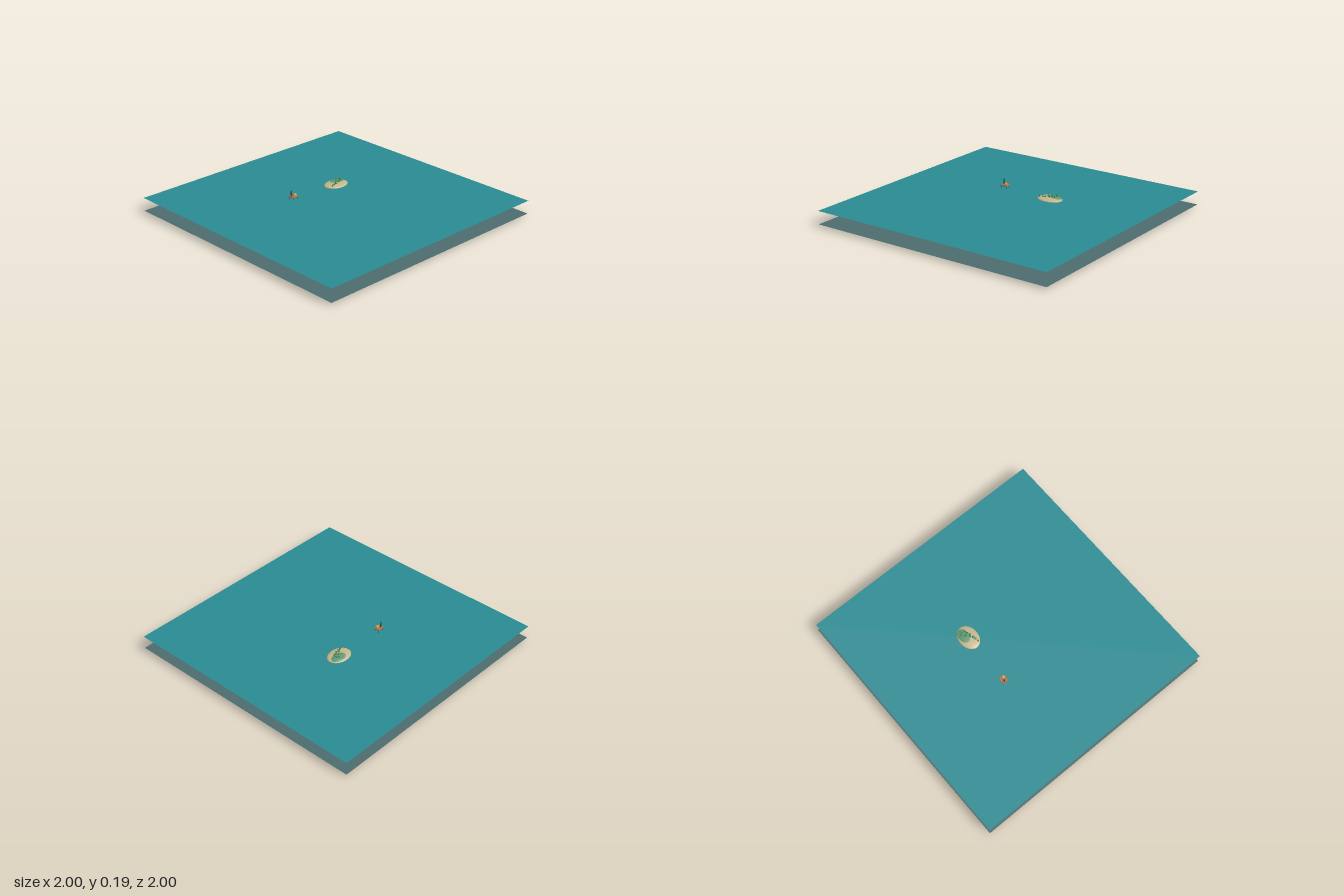
import * as THREE from 'three';

const SEABED = 0.018, WATER = 0.121;

const material = (color, options = {}) => new THREE.MeshStandardMaterial({ color, ...options });
const sandMat = material(0xc2b68a);
const grassMat = material(0x5f9872);
const leafMat = material(0x3f7a55, { flatShading: true });
const trunkMat = material(0x6b5138);
const deckMat = material(0xa8714c);
const steelMat = material(0x454c50);
const cabinMat = material(0xd6ac52);
const rockMats = [0x4a6a68, 0x55706a, 0x3d5a60].map(c => material(c, { flatShading: true }));

function add(parent, name, geometry, mat, x, y, z) {
  const mesh = new THREE.Mesh(geometry, mat);
  mesh.name = name;
  mesh.position.set(x, y, z);
  parent.add(mesh);
  return mesh;
}

function group(parent, name, x, y, z) {
  const g = new THREE.Group();
  g.name = name;
  g.position.set(x, y, z);
  parent.add(g);
  return g;
}

function seeded(seed) {
  return () => (seed = (seed * 16807) % 2147483647) / 2147483647;
}

// Flat square sheet, used for both the sea surface and the seabed
function sheet(parent, name, color, y) {
  const geometry = new THREE.PlaneGeometry(2, 2).rotateX(-Math.PI / 2);
  add(parent, name, geometry, material(color, { side: THREE.DoubleSide }), 0, y, 0);
}

// Rounded stones half sunk into the seabed
function buildRocks(parent) {
  const rocks = group(parent, 'seabedRocks', 0, SEABED, 0);
  const random = seeded(4711);
  const geometry = new THREE.IcosahedronGeometry(1, 1);
  for (let i = 0; i < 60; i++) {
    const angle = random() * Math.PI * 2;
    const distance = 0.44 * Math.pow(random(), 0.7);
    const size = 0.005 + random() * 0.01;
    const rock = add(rocks, 'rock', geometry, rockMats[i % 3],
      Math.cos(angle) * distance, 0, Math.sin(angle) * distance);
    rock.scale.set(size, Math.min(size, 0.013), size * (0.8 + random() * 0.3));
    rock.rotation.y = random() * Math.PI;
  }
  // one full-depth stone
  add(rocks, 'rock', geometry, rockMats[0], 0.12, 0, -0.16).scale.set(0.016, 0.018, 0.015);
}

// Sandy island with a grassy crown and small trees
function buildIsland(parent) {
  const island = group(parent, 'island', 0.2, WATER, -0.203);
  const ball = new THREE.SphereGeometry(1, 40, 24);
  add(island, 'sand', ball, sandMat, 0, 0, 0).scale.set(0.1, 0.018, 0.075);
  add(island, 'grass', ball, grassMat, 0.018, 0.006, -0.015).scale.set(0.07, 0.0145, 0.048);

  const spots = [
    [-0.069, 0.035], [-0.045, 0.03], [-0.025, 0.025], [-0.01, 0.01], [0.005, 0.018],
    [0.025, 0.008], [0.045, 0.005], [0.038, -0.035], [0.015, -0.015], [0.052, -0.02],
  ];
  const trunk = new THREE.CylinderGeometry(0.0015, 0.002, 0.018, 6);
  const crown = new THREE.IcosahedronGeometry(1, 0);
  spots.forEach(([x, z], i) => {
    const tree = group(island, 'tree', x, i < 3 ? 0.012 : 0.019, z);
    add(tree, 'trunk', trunk, trunkMat, 0, 0, 0);
    const top = add(tree, 'treeCrown', crown, leafMat, 0, 0.01, 0);
    const radius = 0.008 + (i % 3) * 0.0015;
    top.scale.set(radius, 0.005, radius);
    top.rotation.y = i;
  });
}

// Platform on four legs that reach down to the seabed
function buildPlatform(parent) {
  const rig = group(parent, 'platform', -0.219, 0, -0.217);
  add(rig, 'deck', new THREE.BoxGeometry(0.058, 0.006, 0.05), deckMat, 0, 0.145, 0);
  const legHeight = 0.142 - SEABED;
  const leg = new THREE.CylinderGeometry(0.0022, 0.0022, legHeight, 10);
  for (const x of [-0.021, 0.021])
    for (const z of [-0.018, 0.018])
      add(rig, 'leg', leg, steelMat, x, SEABED + legHeight / 2, z);
  add(rig, 'tower', new THREE.CylinderGeometry(0.005, 0.006, 0.044, 12), steelMat, -0.015, 0.17, -0.006);
  add(rig, 'cabin', new THREE.BoxGeometry(0.02, 0.015, 0.016), cabinMat, 0.009, 0.1555, 0.006);
}

export function createModel() {
  const model = new THREE.Group();
  model.name = 'seaScene';
  sheet(model, 'seaSurface', 0x2a8a92, WATER);
  sheet(model, 'seabed', 0x4c6c6e, SEABED);
  buildRocks(model);
  buildIsland(model);
  buildPlatform(model);
  return model;
}
